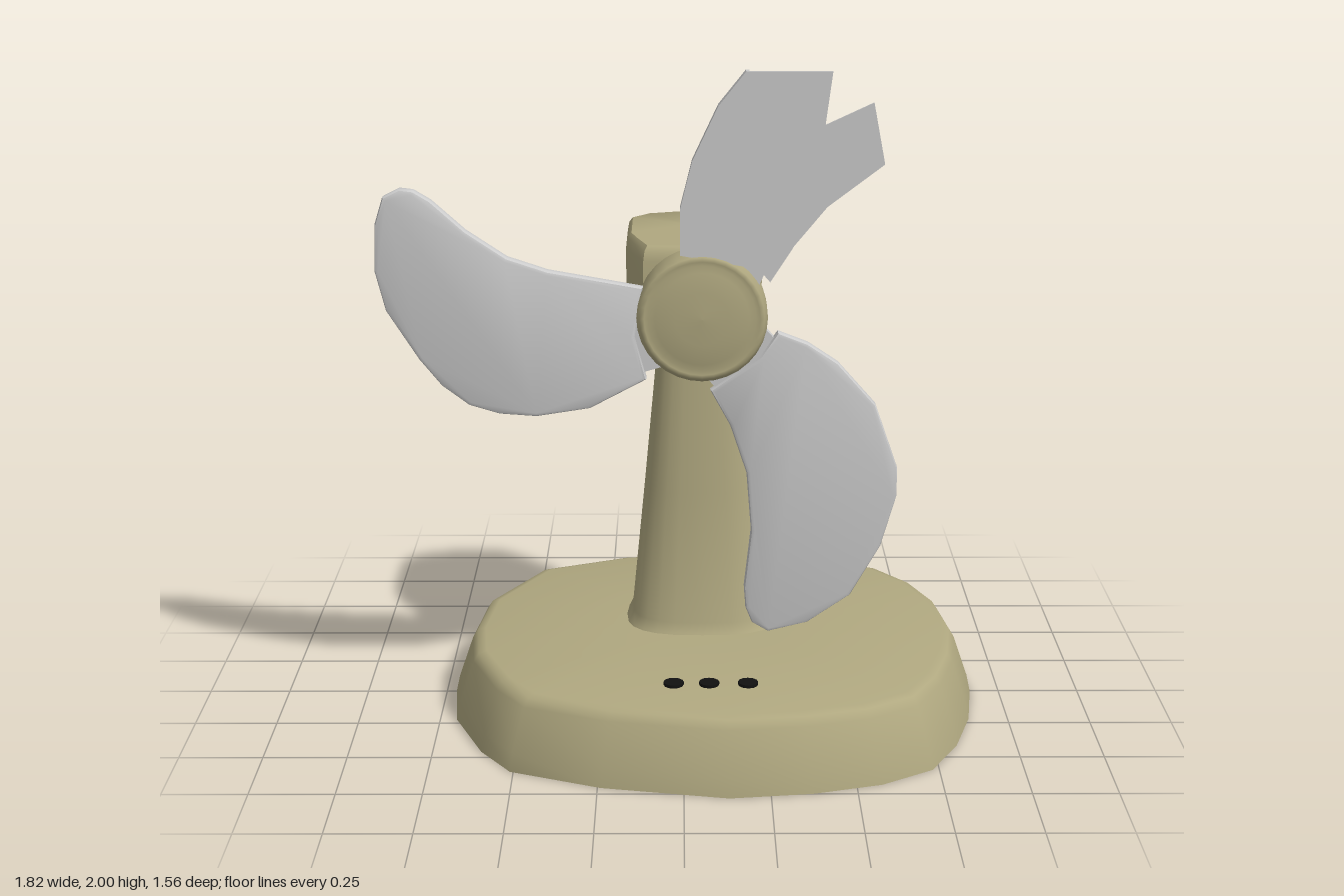
import * as THREE from 'three';
import { toCreasedNormals } from 'three/addons/utils/BufferGeometryUtils.js';

const olive = new THREE.MeshStandardMaterial({ color: 0xb0a880 });
const black = new THREE.MeshStandardMaterial({ color: 0x111111 });
const grey = new THREE.MeshStandardMaterial({ color: 0xcccccc, side: THREE.DoubleSide });

// Skin over horizontal rings (listed bottom to top), closed at both ends
function loft(rings, crease = 0.8) {
  const n = rings[0].length;
  const pos = [], idx = [];
  rings.forEach(r => r.forEach(p => pos.push(...p)));
  for (let i = 0; i < rings.length - 1; i++) {
    for (let j = 0; j < n; j++) {
      const a = i * n + j, b = i * n + (j + 1) % n;
      idx.push(a, a + n, b + n, a, b + n, b);
    }
  }
  [0, rings.length - 1].forEach((i, top) => {
    const c = pos.length / 3;
    pos.push(...[0, 1, 2].map(k => rings[i].reduce((s, p) => s + p[k], 0) / n));
    for (let j = 0; j < n; j++) {
      const a = i * n + j, b = i * n + (j + 1) % n;
      if (top) idx.push(c, b, a);
      else idx.push(c, a, b);
    }
  });
  const geo = new THREE.BufferGeometry();
  geo.setAttribute('position', new THREE.Float32BufferAttribute(pos, 3));
  geo.setIndex(idx);
  return toCreasedNormals(geo, crease);
}

// Plan outline shrunk about (cx, cz) and lifted to height y
const ring = (plan, cx, cz, y, s) => plan.map(([x, z]) => [cx + (x - cx) * s, y, cz + (z - cz) * s]);

// Flat plate from an xy outline, lying between z0 and z1
function plate(outline, z0, z1, bevel) {
  const shape = new THREE.Shape(outline.map(p => new THREE.Vector2(...p)));
  const geo = new THREE.ExtrudeGeometry(shape, {
    depth: z1 - z0 - 2 * bevel, bevelEnabled: bevel > 0,
    bevelSize: bevel, bevelThickness: bevel, bevelOffset: -bevel, bevelSegments: 2
  });
  geo.translate(0, 0, z0 + bevel);
  return toCreasedNormals(geo, 0.7);
}

export function createModel() {
  const model = new THREE.Group();
  const add = (name, geo, mat, parent = model) => {
    const mesh = new THREE.Mesh(geo, mat);
    mesh.name = name;
    parent.add(mesh);
    return mesh;
  };

  // Base: rounded, slightly uneven slab
  const basePlan = [
    [0.15, -0.78], [0.48, -0.73], [0.7, -0.61], [0.81, -0.46], [0.88, -0.27], [0.91, 0], [0.88, 0.22],
    [0.82, 0.42], [0.73, 0.59], [0.575, 0.69], [0.37, 0.75], [0.13, 0.78], [-0.24, 0.71], [-0.51, 0.6],
    [-0.605, 0.46], [-0.7, 0.22], [-0.72, 0], [-0.69, -0.28], [-0.52, -0.6], [-0.22, -0.73]
  ];
  const baseProfile = [[0.005, 0.97], [0.005, 1], [0.06, 0.985], [0.19, 0.93], [0.215, 0.91], [0.222, 0.88], [0.235, 0.3]];
  add('base', loft(baseProfile.map(([y, s]) => ring(basePlan, 0.095, 0, y, s))), olive);

  // Buttons on the base
  for (const x of [-0.03, 0.075, 0.19]) {
    add('button', new THREE.CylinderGeometry(0.03, 0.03, 0.03, 12), black).position.set(x, 0.221, 0.475);
  }

  // Column: tapering rounded square with a small flare at its foot
  const columnRing = (y, rx, rz) => Array.from({ length: 24 }, (_, i) => {
    const a = i / 24 * Math.PI * 2;
    const soft = v => Math.sign(v) * Math.abs(v) ** 0.7;
    return [0.06 + rx * soft(Math.cos(a)), y, -0.09 + rz * soft(Math.sin(a))];
  });
  add('column', loft([
    columnRing(0.21, 0.25, 0.21), columnRing(0.24, 0.235, 0.19), columnRing(0.27, 0.22, 0.18),
    columnRing(0.68, 0.18, 0.145), columnRing(1.15, 0.137, 0.107)
  ]), olive);

  // Motor housing
  const housingPlan = [
    [-0.12, 0.09], [-0.155, -0.03], [-0.175, -0.11], [-0.175, -0.37], [-0.12, -0.44], [0, -0.48], [0.125, -0.49],
    [0.195, -0.475], [0.24, -0.43], [0.24, -0.08], [0.185, 0.09]
  ];
  const housingProfile = [[1.095, 0.6], [1.11, 0.84], [1.135, 0.94], [1.18, 0.99], [1.23, 1], [1.42, 1], [1.45, 0.975], [1.465, 0.92]];
  add('motorHousing', loft(housingProfile.map(([y, s]) => ring(housingPlan, 0.035, -0.17, y, s))), olive);

  // Hub with a raised rim and a shallow domed cap
  const hubProfile = [[0, 0.07], [0.185, 0.07], [0.195, 0.09], [0.195, 0.18], [0.185, 0.195], [0.172, 0.198],
    [0.16, 0.192], [0.14, 0.2], [0.08, 0.206], [0, 0.209]];
  const hubGeo = new THREE.LatheGeometry(hubProfile.map(p => new THREE.Vector2(...p)), 32);
  const hub = add('hub', hubGeo, olive);
  hub.rotation.x = Math.PI / 2;
  hub.position.set(0.055, 1.27, 0);

  // Blade roots joining the hub
  const blades = new THREE.Group();
  blades.name = 'blades';
  model.add(blades);
  for (const deg of [196, 312, 66]) {
    const a = THREE.MathUtils.degToRad(deg);
    const root = add('bladeRoot', new THREE.BoxGeometry(0.1, 0.23, 0.035), grey, blades);
    root.position.set(0.055 + 0.195 * Math.cos(a), 1.27 + 0.195 * Math.sin(a), 0.15);
    root.rotation.z = a;
  }

  // Two whole blades
  add('rightBlade', plate([
    [-0.12, 1.36], [-0.4, 1.41], [-0.52, 1.45], [-0.64, 1.53], [-0.74, 1.62], [-0.79, 1.65], [-0.83, 1.655], [-0.88, 1.63],
    [-0.905, 1.55], [-0.91, 1.41], [-0.88, 1.29], [-0.785, 1.14], [-0.72, 1.06], [-0.64, 1], [-0.55, 0.973],
    [-0.44, 0.965], [-0.28, 0.99], [-0.11, 1.08], [-0.145, 1.21]
  ], 0.135, 0.183, 0.012), grey, blades);

  const lower = plate([
    [0.08, 1.045], [0.14, 0.935], [0.19, 0.785], [0.205, 0.6], [0.185, 0.415], [0.19, 0.35], [0.21, 0.3], [0.26, 0.27],
    [0.38, 0.3], [0.51, 0.39], [0.6, 0.55], [0.645, 0.71], [0.645, 0.8], [0.575, 1], [0.46, 1.13],
    [0.37, 1.19], [0.28, 1.225], [0.23, 1.15]
  ], 0.138, 0.183, 0.012);
  // slight backward lean
  lower.applyMatrix4(new THREE.Matrix4().makeShear(0, 0, 0, 0.018, 0, 0));
  const leanPos = lower.attributes.position;
  lower.computeBoundingBox();
  const leanShift = 0.183 - lower.boundingBox.max.z;
  for (let i = 0; i < leanPos.count; i++) leanPos.setZ(i, leanPos.getZ(i) + leanShift);
  add('lowerBlade', lower, grey, blades);

  // Broken blade: body cut off straight, jagged front skin and a bit of side wall beyond it
  const foot = [[0.585, 1.73], [0.42, 1.605], [0.325, 1.49], [0.255, 1.38], [0.22, 1.42], [-0.01, 1.46]];
  const edge = [[-0.01, 1.6], [0.025, 1.74], [0.1, 1.9]];
  const broken = new THREE.Group();
  broken.name = 'brokenBlade';
  blades.add(broken);
  add('brokenBladeBody', plate([...foot, ...edge], 0.142, 0.188, 0.01), grey, broken);
  add('brokenBladeSkin', plate([
    ...foot, ...edge, [0.18, 2], [0.43, 2], [0.41, 1.845], [0.55, 1.91]
  ], 0.184, 0.192, 0), grey, broken);
  add('brokenBladeWall', plate([[0.1, 1.9], [0.11, 1.895], [0.19, 2], [0.18, 2]], 0.148, 0.19, 0), grey, broken);

  return model;
}
